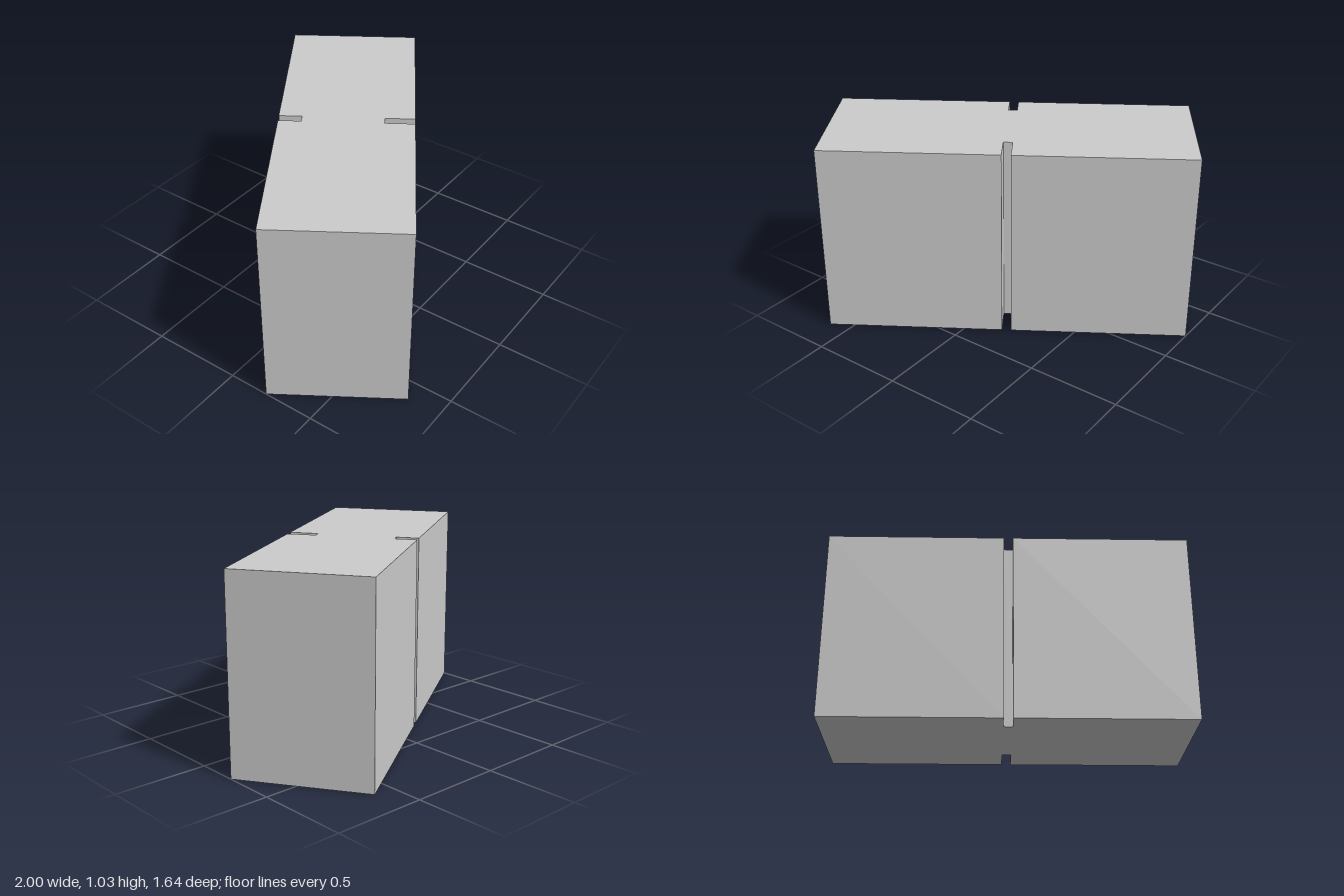
import * as THREE from 'three';

const HEIGHT = 1.035;
const HALF_LENGTH = 0.96;
const HALF_WIDTH = 0.356;
const HALF_SLOT = 0.024;
const FRONT_SLOT_FLOOR = 0.197; // distance of the slot floors from the centre line
const BACK_SLOT_FLOOR = 0.234;

export function createModel() {
  const group = new THREE.Group();
  group.name = 'slottedBlock';

  // Footprint with a narrow slot halfway along each long side (front is -y here)
  const footprint = new THREE.Shape([
    [-HALF_LENGTH, -HALF_WIDTH],
    [-HALF_SLOT, -HALF_WIDTH],
    [-HALF_SLOT, -FRONT_SLOT_FLOOR],
    [HALF_SLOT, -FRONT_SLOT_FLOOR],
    [HALF_SLOT, -HALF_WIDTH],
    [HALF_LENGTH, -HALF_WIDTH],
    [HALF_LENGTH, HALF_WIDTH],
    [HALF_SLOT, HALF_WIDTH],
    [HALF_SLOT, BACK_SLOT_FLOOR],
    [-HALF_SLOT, BACK_SLOT_FLOOR],
    [-HALF_SLOT, HALF_WIDTH],
    [-HALF_LENGTH, HALF_WIDTH],
  ].map(([x, y]) => new THREE.Vector2(x, y)));

  // Raise the footprint upright
  const geometry = new THREE.ExtrudeGeometry(footprint, { depth: HEIGHT, bevelEnabled: false });
  geometry.rotateX(-Math.PI / 2);

  const block = new THREE.Mesh(
    geometry,
    new THREE.MeshStandardMaterial({ color: 0xcccccc, flatShading: true }),
  );
  block.name = 'block';
  block.rotation.y = 0.5735; // the block stands turned on its base
  group.add(block);

  return group;
}
